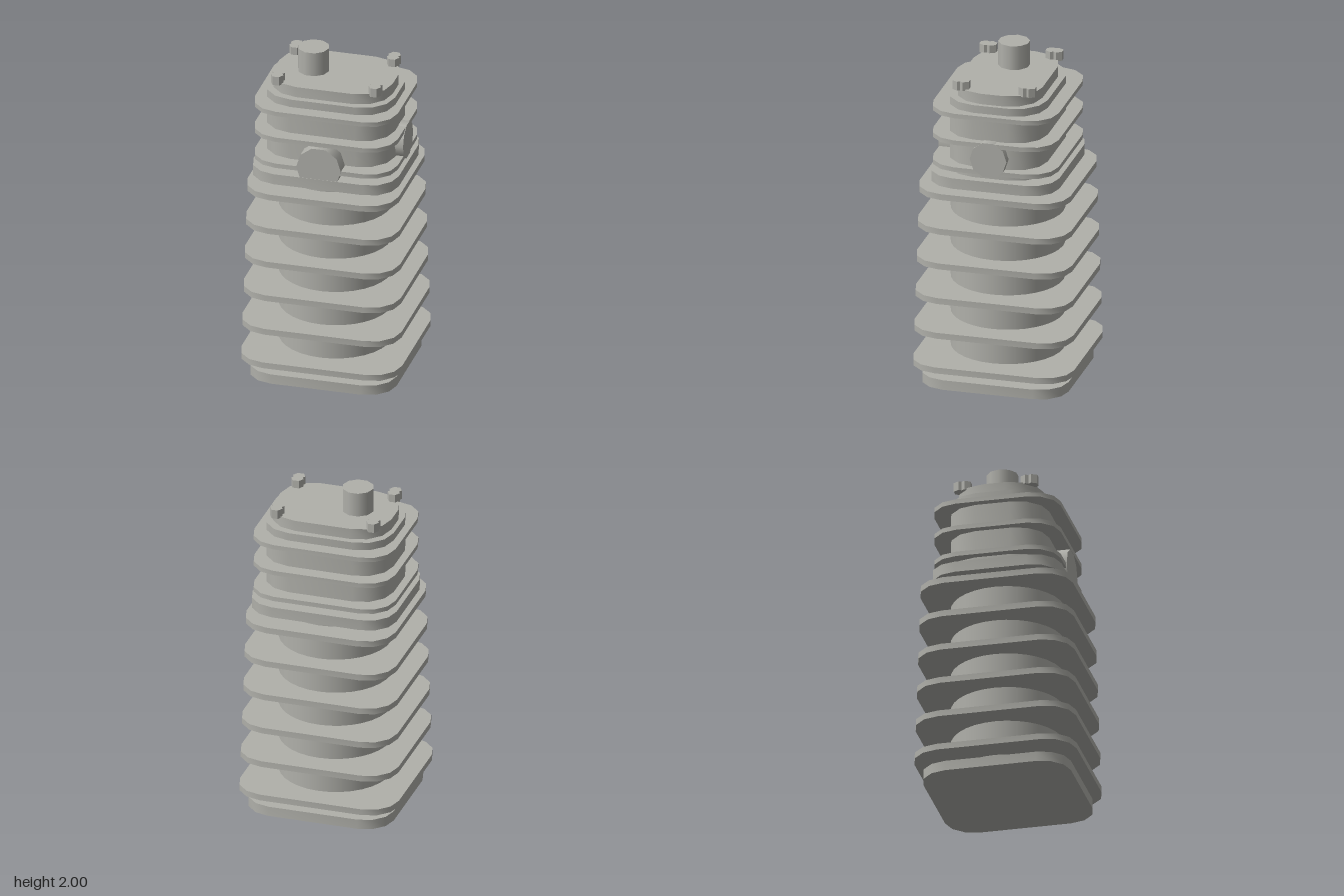
import * as THREE from 'three';
import { toCreasedNormals } from 'three/addons/utils/BufferGeometryUtils.js';

const metal = new THREE.MeshStandardMaterial({ color: 0xb0b0aa });
metal.name = 'castGrey';

// Horizontal plate with three-sided rounded corners; hx, hz are half sizes
function plateGeometry(hx, hz, r, y0, y1) {
  const points = [];
  const corners = [[1, 1], [-1, 1], [-1, -1], [1, -1]];
  corners.forEach(([sx, sz], i) => {
    for (let k = 0; k <= 3; k++) {
      const a = (i + k / 3) * Math.PI / 2;
      points.push(new THREE.Vector2(
        sx * (hx - r) + r * Math.cos(a), sz * (hz - r) + r * Math.sin(a)));
    }
  });
  const g = new THREE.ExtrudeGeometry(new THREE.Shape(points), { depth: y1 - y0, bevelEnabled: false });
  g.rotateX(-Math.PI / 2).translate(0, y0, 0);
  return toCreasedNormals(g, 0.75);
}

export function createModel() {
  const model = new THREE.Group();
  model.name = 'finnedCylinder';

  const add = (name, geometry, parent = model) => {
    const mesh = new THREE.Mesh(geometry, metal);
    mesh.name = name;
    parent.add(mesh);
    return mesh;
  };

  // Lower barrel with base flange and slightly tapering square fins
  add('baseFlange', plateGeometry(0.442, 0.442, 0.17, 0, 0.06));
  add('barrel', new THREE.CylinderGeometry(0.335, 0.335, 1.195, 32).translate(0, 0.6575, 0));
  for (let i = 0; i < 6; i++) {
    const h = 0.486 - i * 0.0058;
    const y = 0.117 + i * 0.2162;
    add('barrelFin', plateGeometry(h, h, 0.176, y, y + 0.037));
  }

  // Head: flange, body, fins and cap
  add('headFlange', plateGeometry(0.44, 0.386, 0.17, 1.27, 1.335));
  add('headBody', plateGeometry(0.387, 0.295, 0.19, 1.335, 1.787));
  for (const y of [1.374, 1.543, 1.711]) {
    add('headFin', plateGeometry(0.432, 0.379, 0.17, y, y + 0.028));
  }
  add('headCap', plateGeometry(0.36, 0.255, 0.19, 1.787, 1.852));

  // Plug post on the cap
  add('plugPost', new THREE.CylinderGeometry(0.0935, 0.0935, 0.15, 10)
    .rotateY(Math.PI / 2).translate(-0.135, 1.925, 0));

  // Paired hexagonal nuts at the four corners
  for (const sx of [-1, 1]) {
    for (const sz of [-1, 1]) {
      const nuts = new THREE.Group();
      nuts.name = 'cornerNuts';
      nuts.position.set(sx * 0.295, 1.8725, sz * 0.2);
      for (const dz of [-0.0175, 0.0175]) {
        const g = new THREE.CylinderGeometry(0.0375, 0.0375, 0.055, 6);
        g.rotateY(Math.PI / 2).translate(0, 0, dz);
        add('nut', toCreasedNormals(g, 0.75), nuts);
      }
      model.add(nuts);
    }
  }

  // Front port, facing +z
  add('frontPort', new THREE.CylinderGeometry(0.135, 0.135, 0.184, 10)
    .rotateY(Math.PI / 2).rotateX(Math.PI / 2).translate(0, 1.402, 0.292));

  // Side port, facing +x
  add('sidePort', new THREE.CylinderGeometry(0.111, 0.111, 0.135, 10)
    .rotateY(Math.PI / 2).rotateZ(-Math.PI / 2).rotateX(Math.PI / 2).translate(0.368, 1.469, 0));

  return model;
}
